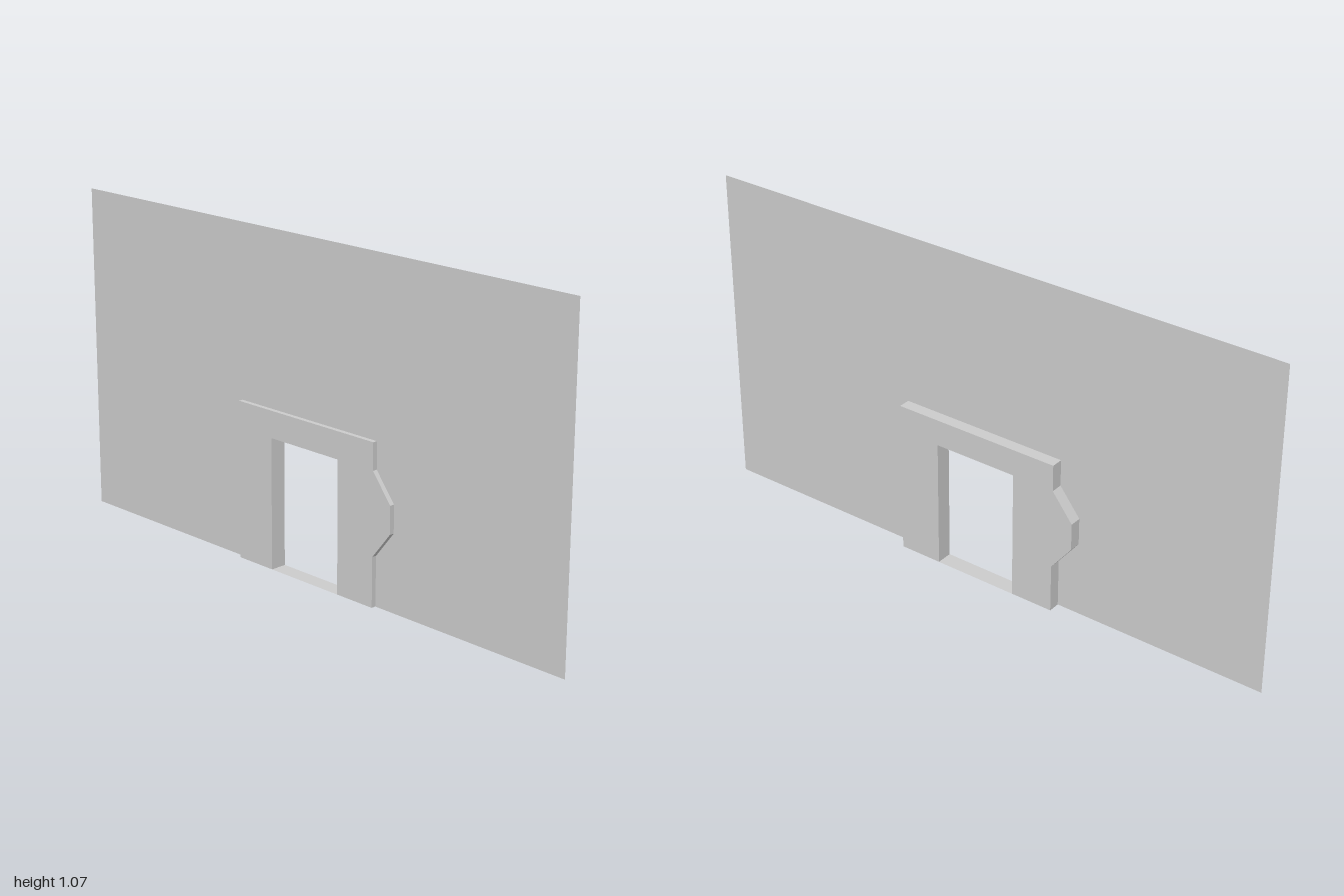
import * as THREE from 'three';

const WALL_Z = 0.012, FRAME_DEPTH = 0.054;
const DOOR_HALF = 0.142, DOOR_TOP = 0.426;

// Right half of the frame's outer outline, from the ground up
const SIDE = [[0.286, 0], [0.286, 0.16], [0.356, 0.248], [0.356, 0.337], [0.286, 0.426], [0.286, 0.513]];
const mirrored = SIDE.map(([x, y]) => [-x, y]).reverse();

const toShape = (points) => new THREE.Shape(points.map(([x, y]) => new THREE.Vector2(x, y)));

export function createModel() {
  const group = new THREE.Group();
  const material = new THREE.MeshStandardMaterial({ color: 0xcccccc, flatShading: true, side: THREE.DoubleSide });
  const add = (name, geometry) => {
    const mesh = new THREE.Mesh(geometry, material);
    mesh.name = name;
    group.add(mesh);
    return mesh;
  };

  // Thin wall sheet, cut out around the frame
  const wallShape = toShape([
    [-1, 0], ...[...mirrored].reverse(), ...[...SIDE].reverse(),
    [1, 0], [1, 1.07], [-1, 1.07],
  ]);
  add('wall', new THREE.ShapeGeometry(wallShape)).position.z = WALL_Z;

  // Doorway surround standing proud of the wall, further at the back
  const frameShape = toShape([
    ...SIDE, ...mirrored,
    [-DOOR_HALF, 0], [-DOOR_HALF, DOOR_TOP], [DOOR_HALF, DOOR_TOP], [DOOR_HALF, 0],
  ]);
  const frame = new THREE.ExtrudeGeometry(frameShape, { depth: FRAME_DEPTH, bevelEnabled: false });
  add('doorFrame', frame.translate(-0.001, 0, -FRAME_DEPTH / 2));

  // Flat threshold between the jambs
  const sill = new THREE.PlaneGeometry(2 * DOOR_HALF, FRAME_DEPTH).rotateX(-Math.PI / 2);
  add('threshold', sill.translate(-0.001, 0, 0));

  return group;
}
